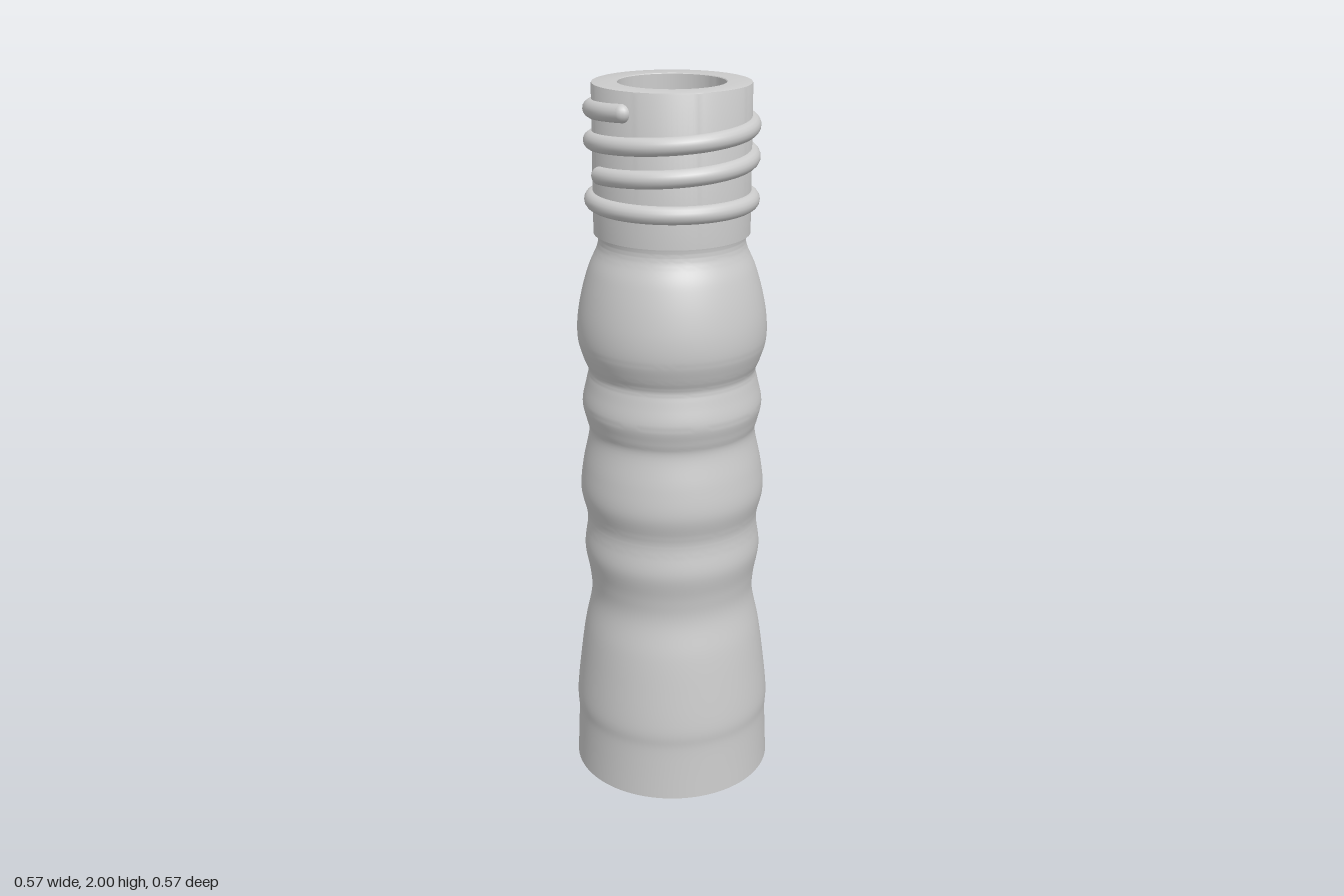
import * as THREE from 'three';
import { toCreasedNormals } from 'three/addons/utils/BufferGeometryUtils.js';

const material = new THREE.MeshStandardMaterial({ color: 0xcccccc });
const SEGMENTS = 96;

const vectors = (pairs) => pairs.map(([r, y]) => new THREE.Vector2(r, y));

function lathe(name, points) {
  const geometry = toCreasedNormals(new THREE.LatheGeometry(points, SEGMENTS), 0.6);
  const mesh = new THREE.Mesh(geometry, material);
  mesh.name = name;
  return mesh;
}

// Screw thread: rises counter-clockwise from the front, a little over two turns
class Helix extends THREE.Curve {
  getPoint(t, target = new THREE.Vector3()) {
    const angle = -0.22 + t * (4 * Math.PI + 0.44);
    const y = 1.774 + t * 0.17;
    return target.set(0.209 * Math.sin(angle), y, 0.209 * Math.cos(angle));
  }
}

export function createModel() {
  const model = new THREE.Group();

  // Wavy grip body with a flat base
  const outline = new THREE.SplineCurve(vectors([
    [0.285, 0], [0.281, 0.09], [0.279, 0.16], [0.281, 0.22], [0.268, 0.34],
    [0.254, 0.44], [0.234, 0.54], [0.237, 0.61], [0.25, 0.69], [0.242, 0.76],
    [0.243, 0.8], [0.258, 0.87], [0.25, 0.95], [0.232, 1.04], [0.239, 1.08],
    [0.249, 1.13], [0.237, 1.19], [0.231, 1.225], [0.244, 1.26], [0.258, 1.31],
    [0.258, 1.37], [0.246, 1.44], [0.226, 1.51], [0.204, 1.56], [0.198, 1.585],
    [0.2, 1.605],
  ]));
  model.add(lathe('body', [new THREE.Vector2(0, 0), ...outline.getPoints(150)]));

  // Neck shell with a small rounded lip
  model.add(lathe('neck', vectors([
    [0.19, 1.605], [0.21, 1.605], [0.21, 1.996], [0.2088, 1.999], [0.206, 2],
    [0.144, 2], [0.142, 1.998],
  ])));

  // Bore ending in a round bottom
  const bore = vectors([[0.142, 1.998], [0.141, 0.24]]);
  for (let i = 1; i <= 16; i++) {
    const a = (i / 16) * Math.PI / 2;
    bore.push(new THREE.Vector2(0.141 * Math.cos(a), 0.24 - 0.141 * Math.sin(a)));
  }
  model.add(lathe('bore', bore));

  // Collar ring below the thread
  const ring = new THREE.Mesh(new THREE.TorusGeometry(0.209, 0.024, 16, SEGMENTS), material);
  ring.rotation.x = Math.PI / 2;
  ring.position.y = 1.695;
  ring.name = 'collarRing';
  model.add(ring);

  // Thread with rounded ends
  const thread = new THREE.Group();
  thread.name = 'thread';
  const helix = new Helix();
  const ridge = new THREE.Mesh(new THREE.TubeGeometry(helix, 200, 0.024, 16), material);
  ridge.name = 'threadRidge';
  thread.add(ridge);
  for (const t of [0, 1]) {
    const end = new THREE.Mesh(new THREE.SphereGeometry(0.024, 16, 12), material);
    end.position.copy(helix.getPoint(t));
    end.name = 'threadEnd';
    thread.add(end);
  }
  model.add(thread);

  return model;
}
